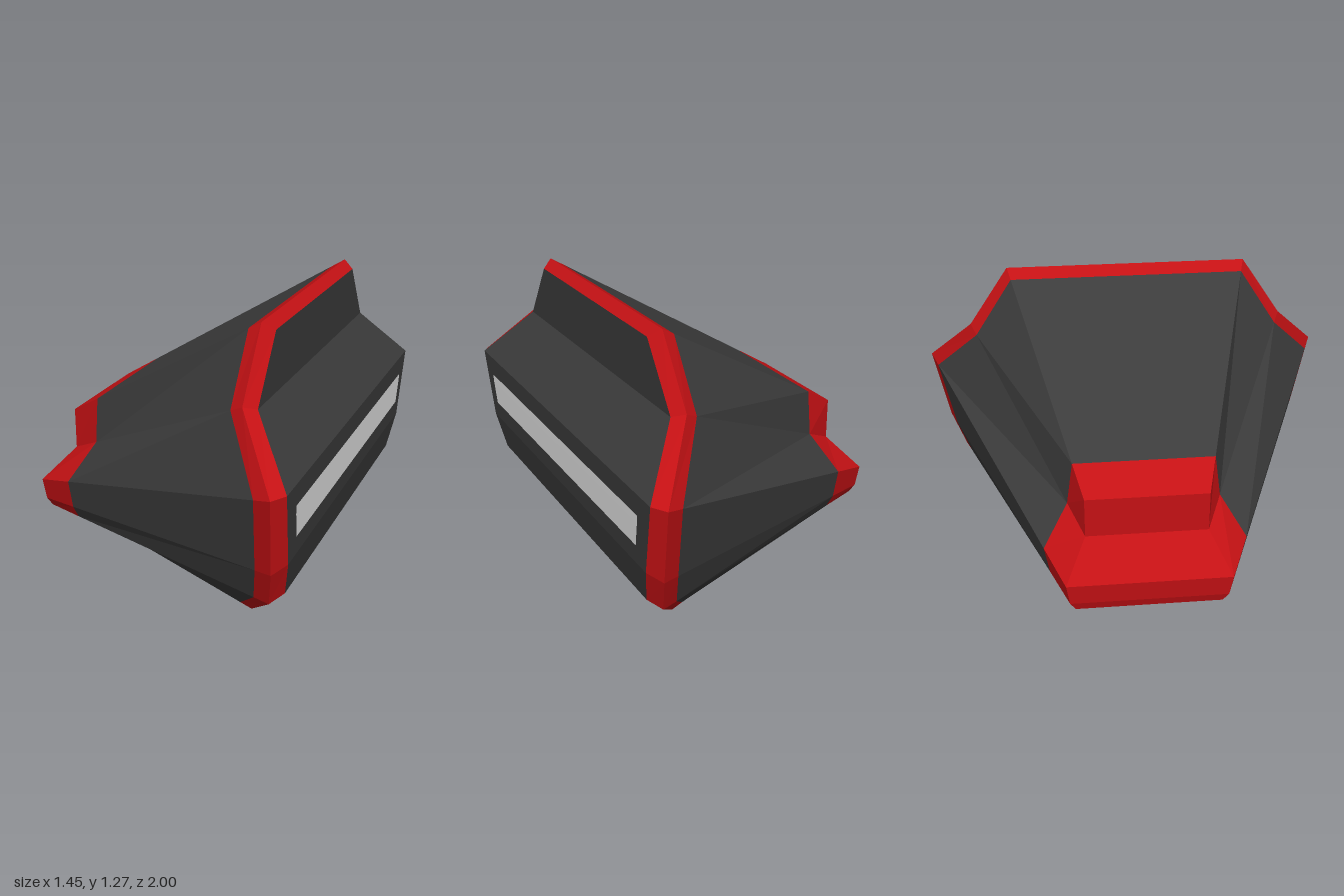
import * as THREE from 'three';

// Half profiles from bottom to top: [x, y, half width in z]
const SMALL_END = [[-0.58, 0.095, 0.26], [-0.70, 0.13, 0.33], [-0.715, 0.175, 0.355],
  [-0.725, 0.28, 0.37], [-0.58, 0.44, 0.275], [-0.58, 0.635, 0.275]];
const LARGE_END = [[0.47, 0, 0.63], [0.63, 0.195, 0.86], [0.66, 0.37, 0.93],
  [0.675, 0.725, 1.0], [0.47, 0.985, 0.77], [0.47, 1.275, 0.575]];
const END_PANEL = [[0.52, 0.05, 0.60], [0.68, 0.23, 0.81], [0.71, 0.40, 0.87],
  [0.72, 0.73, 0.94], [0.52, 0.97, 0.73], [0.52, 1.24, 0.54]];
const LIGHT_STRIP = [[0.717, 0.49, 0.80], [0.720, 0.60, 0.822], [0.721, 0.638, 0.825]];

const between = (a, b, t) => a.map((p, i) => p.map((v, k) => v + (b[i][k] - v) * t));

// Full closed ring from a mirrored half profile
const ring = (half) => [
  ...half.map(([x, y, z]) => [x, y, z]),
  ...half.map(([x, y, z]) => [x, y, -z]).reverse(),
];

function facesMesh(name, quads, material) {
  const pos = [];
  for (const [a, b, c, d] of quads) pos.push(...a, ...b, ...c, ...a, ...c, ...d);
  const geometry = new THREE.BufferGeometry();
  geometry.setAttribute('position', new THREE.Float32BufferAttribute(pos, 3));
  geometry.computeVertexNormals();
  const mesh = new THREE.Mesh(geometry, material);
  mesh.name = name;
  return mesh;
}

// Skin between two profiles, the first nearer -x
function skin(from, to) {
  const a = ring(from), b = ring(to);
  return a.map((p, i) => {
    const j = (i + 1) % a.length;
    return [p, b[i], b[j], a[j]];
  });
}

// Bands across the width of a profile, facing +x or -x
function cap(half, facing = 1) {
  const quads = [];
  for (let i = 0; i < half.length - 1; i++) {
    const [x0, y0, z0] = half[i], [x1, y1, z1] = half[i + 1];
    const quad = [[x0, y0, z0], [x0, y0, -z0], [x1, y1, -z1], [x1, y1, z1]];
    quads.push(facing > 0 ? quad : quad.reverse());
  }
  return quads;
}

export function createModel() {
  const paint = (name, color) => {
    const m = new THREE.MeshStandardMaterial({ color });
    m.name = name;
    return m;
  };
  const dark = paint('charcoal', 0x3c3c3c);
  const red = paint('red', 0xc41114);
  const pale = paint('pale grey', 0xe8e8e8);

  const smallEdge = between(SMALL_END, LARGE_END, 0.143);
  const largeEdge = between(SMALL_END, LARGE_END, 0.942);

  const model = new THREE.Group();
  model.name = 'taperedPod';
  model.add(
    // Tapered hull
    facesMesh('hull', skin(smallEdge, largeEdge), dark),
    // Red stepped nose
    facesMesh('nose', [...skin(SMALL_END, smallEdge), ...cap(SMALL_END, -1)], red),
    // Red rim with bevel around the wide end
    facesMesh('rim', [...skin(largeEdge, LARGE_END), ...skin(LARGE_END, END_PANEL)], red),
    // Dark panel closing the wide end, with its light strip
    facesMesh('endPanel', cap(END_PANEL), dark),
    facesMesh('lightStrip', cap(LIGHT_STRIP), pale),
  );
  return model;
}
